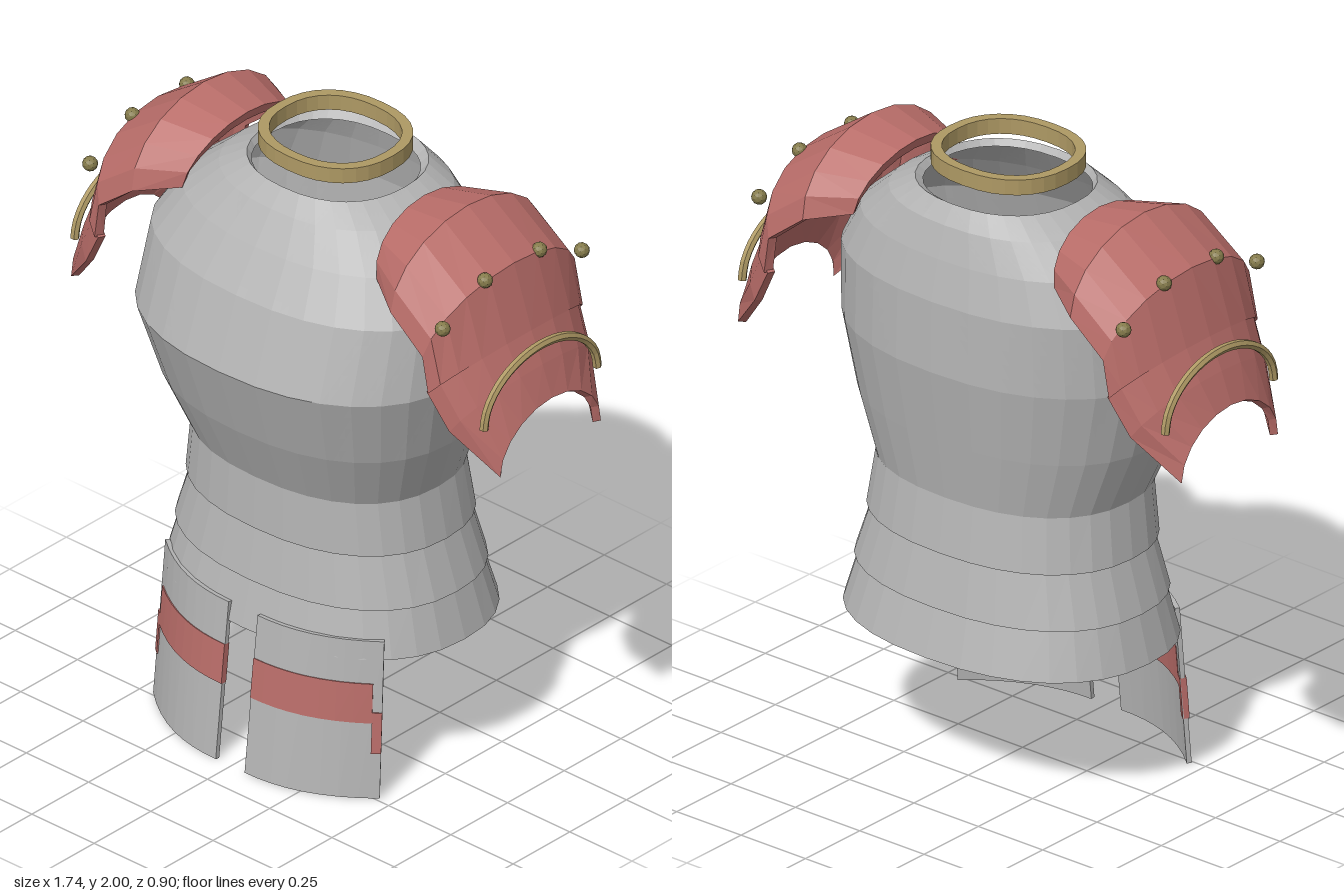
import * as THREE from 'three';

const mat = (name, color) => new THREE.MeshStandardMaterial({ name, color, flatShading: true, side: THREE.DoubleSide });
const steel = mat('steel grey', 0xb4b4b4);
const red = mat('faded red', 0xb96d69);
const gold = mat('pale gold', 0xae9964);
const bronze = mat('dull bronze', 0x857b4b);
const lerp = THREE.MathUtils.lerp;

function addMesh(parent, name, geometry, material) {
  const m = new THREE.Mesh(geometry, material);
  m.name = name;
  parent.add(m);
  return m;
}

function buildGeometry(points, index) {
  const g = new THREE.BufferGeometry().setFromPoints(points);
  g.setIndex(index);
  g.computeVertexNormals();
  return g;
}

// Faces of a rows x cols grid; skip(i, j) leaves a hole
function gridIndex(rows, cols, skip = () => false) {
  const index = [];
  for (let i = 0; i < rows - 1; i++) for (let j = 0; j < cols - 1; j++) {
    if (skip(i, j)) continue;
    const a = i * cols + j, d = a + cols;
    index.push(a, a + 1, d + 1, a, d + 1, d);
  }
  return index;
}

// Plate with thickness: outer grid, inner offset grid and walls round the rim
function shell(grid, thick) {
  const rows = grid.length, cols = grid[0].length, n = rows * cols;
  const outer = grid.flat(), index = gridIndex(rows, cols);
  const normal = buildGeometry(outer, index).getAttribute('normal');
  const inner = outer.map((p, k) => p.clone().addScaledVector(new THREE.Vector3().fromBufferAttribute(normal, k), -thick));
  const all = [...index];
  for (let k = 0; k < index.length; k += 3) all.push(index[k] + n, index[k + 2] + n, index[k + 1] + n);
  const rim = [];
  for (let j = 0; j < cols - 1; j++) rim.push(j);
  for (let i = 0; i < rows - 1; i++) rim.push(i * cols + cols - 1);
  for (let j = cols - 1; j > 0; j--) rim.push((rows - 1) * cols + j);
  for (let i = rows - 1; i > 0; i--) rim.push(i * cols);
  rim.forEach((a, k) => {
    const b = rim[(k + 1) % rim.length];
    all.push(a, a + n, b + n, a, b + n, b);
  });
  return buildGeometry([...outer, ...inner], all);
}

// Body cross-section [y, half width, z front, z back], a rounded oval with 32 sides
const STEP = Math.PI / 16;
function corner([y, w, zf, zb], a) {
  const p = v => Math.sign(v) * Math.abs(v) ** 0.87;
  return new THREE.Vector3(w * p(Math.cos(a)), y, (zf + zb) / 2 + (zf - zb) / 2 * p(Math.sin(a)));
}
function ringPoint(ring, a) {
  const k = Math.floor(a / STEP + 1e-6);
  return corner(ring, k * STEP).lerp(corner(ring, (k + 1) * STEP), a / STEP - k);
}
function loft(rings) {
  const pts = rings.flatMap(r => Array.from({ length: 33 }, (_, j) => corner(r, j * STEP)));
  return buildGeometry(pts, gridIndex(rings.length, 33));
}

// Half of the breastplate, with the armhole opened by pushing vertices to its edge
function halfTorso() {
  const rings = [
    [1.905, 0.27, 0.17, -0.32], [1.85, 0.37, 0.22, -0.36], [1.75, 0.49, 0.29, -0.39],
    [1.62, 0.57, 0.375, -0.42], [1.39, 0.58, 0.453, -0.425], [1.15, 0.52, 0.375, -0.39], [0.95, 0.44, 0.29, -0.36],
  ];
  const at = (a, y) => {
    let k = 0;
    while (k < rings.length - 2 && y < rings[k + 1][0]) k++;
    const t = (rings[k][0] - y) / (rings[k][0] - rings[k + 1][0]);
    return ringPoint(rings[k], a).lerp(ringPoint(rings[k + 1], a), t);
  };
  const hole = { a: -0.1, y: 1.575, da: 0.37, dy: 0.2 };
  const SUB = 5, cols = 65, rows = (rings.length - 1) * SUB + 1, pts = [], inside = [];
  for (let i = 0; i < rows; i++) for (let j = 0; j < cols; j++) {
    const k = Math.min(Math.floor(i / SUB), rings.length - 2);
    let y = lerp(rings[k][0], rings[k + 1][0], i / SUB - k);
    let a = -Math.PI / 2 + j * STEP / 4;
    const u = (a - hole.a) / hole.da, v = (y - hole.y) / hole.dy, d = Math.hypot(u, v);
    inside.push(d < 1);
    if (d < 1 && d > 0.01) {
      a = hole.a + hole.da * u / d;
      y = hole.y + hole.dy * v / d;
    }
    pts.push(at(a, y));
  }
  const skip = (i, j) => [0, 1, cols, cols + 1].every(o => inside[i * cols + j + o]);
  return buildGeometry(pts, gridIndex(rows, cols, skip));
}

// Shoulder plate: rows are [crown x, crown y, edge x, edge y, half depth]
const SHOULDER_Z = -0.067;
function shoulderPlate(rows, thick) {
  const grid = rows.map(([cx, cy, ex, ey, h]) => Array.from({ length: 11 }, (_, j) => {
    const t = (j / 5 - 1) * Math.PI / 2, drop = 1 - Math.cos(t);
    return new THREE.Vector3(lerp(cx, ex, drop), lerp(cy, ey, drop), SHOULDER_Z + h * Math.sin(t));
  }));
  return shell(grid, thick);
}

function buildShoulder() {
  const g = new THREE.Group();
  addMesh(g, 'upperShoulderPlate', shoulderPlate([
    [0.355, 1.915, 0.39, 1.75, 0.25], [0.53, 1.95, 0.52, 1.72, 0.33],
    [0.715, 1.825, 0.65, 1.62, 0.333], [0.785, 1.62, 0.67, 1.5, 0.33],
  ], 0.03), red);
  addMesh(g, 'lowerShoulderPlate', shoulderPlate([
    [0.785, 1.62, 0.66, 1.5, 0.325], [0.83, 1.52, 0.73, 1.38, 0.302], [0.868, 1.42, 0.862, 1.24, 0.222],
  ], 0.025), red);
  // Raised arch trim
  const arch = Array.from({ length: 13 }, (_, i) => {
    const t = (i / 6 - 1) * Math.PI / 2;
    return new THREE.Vector3(0.822, 1.4 + 0.185 * Math.cos(t), SHOULDER_Z + 0.25 * Math.sin(t));
  });
  addMesh(g, 'archTrim', new THREE.TubeGeometry(new THREE.CatmullRomCurve3(arch), 24, 0.014, 6), gold);
  // Studs
  for (const [dz, y] of [[0.12, 1.815], [0.307, 1.73]]) for (const s of [-1, 1]) {
    addMesh(g, 'stud', new THREE.IcosahedronGeometry(0.024, 1), bronze).position.set(0.708, y, SHOULDER_Z + s * dz);
  }
  return g;
}

// Thigh plate patch: u runs from the inner to the outer edge
function thighPatch(u0, u1, y0, y1, lift, thick) {
  const grid = [0, 1].map(r => Array.from({ length: 9 }, (_, j) => {
    const u = lerp(u0, u1, j / 8), y = lerp(y0, y1, r), t = y / 0.52;
    const x = lerp(0.058, lerp(0.455, 0.44, t), u);
    const z = lerp(0.4, 0.343, t) - lerp(0.16, 0.14, t) * u ** 2.2;
    return new THREE.Vector3(x + lift * u, y, z + lift);
  }));
  return shell(grid, thick);
}

function buildThigh() {
  const g = new THREE.Group();
  addMesh(g, 'thighPlate', thighPatch(0, 1, 0, 0.52, 0, 0.015), steel);
  addMesh(g, 'thighStripe', thighPatch(0, 0.94, 0.25, 0.38, 0.003, 0.021), red);
  addMesh(g, 'thighStripeEnd', thighPatch(0.94, 1, 0.15, 0.285, 0.003, 0.021), red);
  return g;
}

export function createModel() {
  const model = new THREE.Group();
  model.name = 'bodyArmour';

  // Mirrored parts
  for (const [side, s] of [['left', 1], ['right', -1]]) {
    const half = new THREE.Group();
    half.name = side + 'Side';
    half.scale.x = s;
    addMesh(half, side + 'Breastplate', halfTorso(), steel);
    const shoulder = buildShoulder(), thigh = buildThigh();
    shoulder.name = side + 'Shoulder';
    thigh.name = side + 'Thigh';
    half.add(shoulder, thigh);
    model.add(half);
  }

  // Inner lip of the neck opening
  addMesh(model, 'neckLip', loft([[1.885, 0.255, 0.155, -0.29], [1.905, 0.27, 0.17, -0.32]]), steel);

  // Overlapping waist bands, each with a thin turned-in lower rim
  const bands = [
    [[0.955, 0.442, 0.292, -0.362], [0.78, 0.466, 0.297, -0.386]],
    [[0.785, 0.448, 0.288, -0.375], [0.61, 0.505, 0.318, -0.413]],
    [[0.615, 0.49, 0.308, -0.402], [0.457, 0.535, 0.347, -0.447]],
  ];
  for (const [top, low] of bands) {
    const [y, w, f, b] = low;
    addMesh(model, 'waistBand', loft([top, low, [y, w - 0.018, f - 0.018, b + 0.018]]), steel);
  }

  // Floating collar ring
  const outer = y => [y, 0.23, 0.145, -0.275], inner = y => [y, 0.198, 0.113, -0.243];
  addMesh(model, 'collarRing', loft([inner(2), outer(2), outer(1.95), inner(1.95), inner(2)]), gold);
  return model;
}
